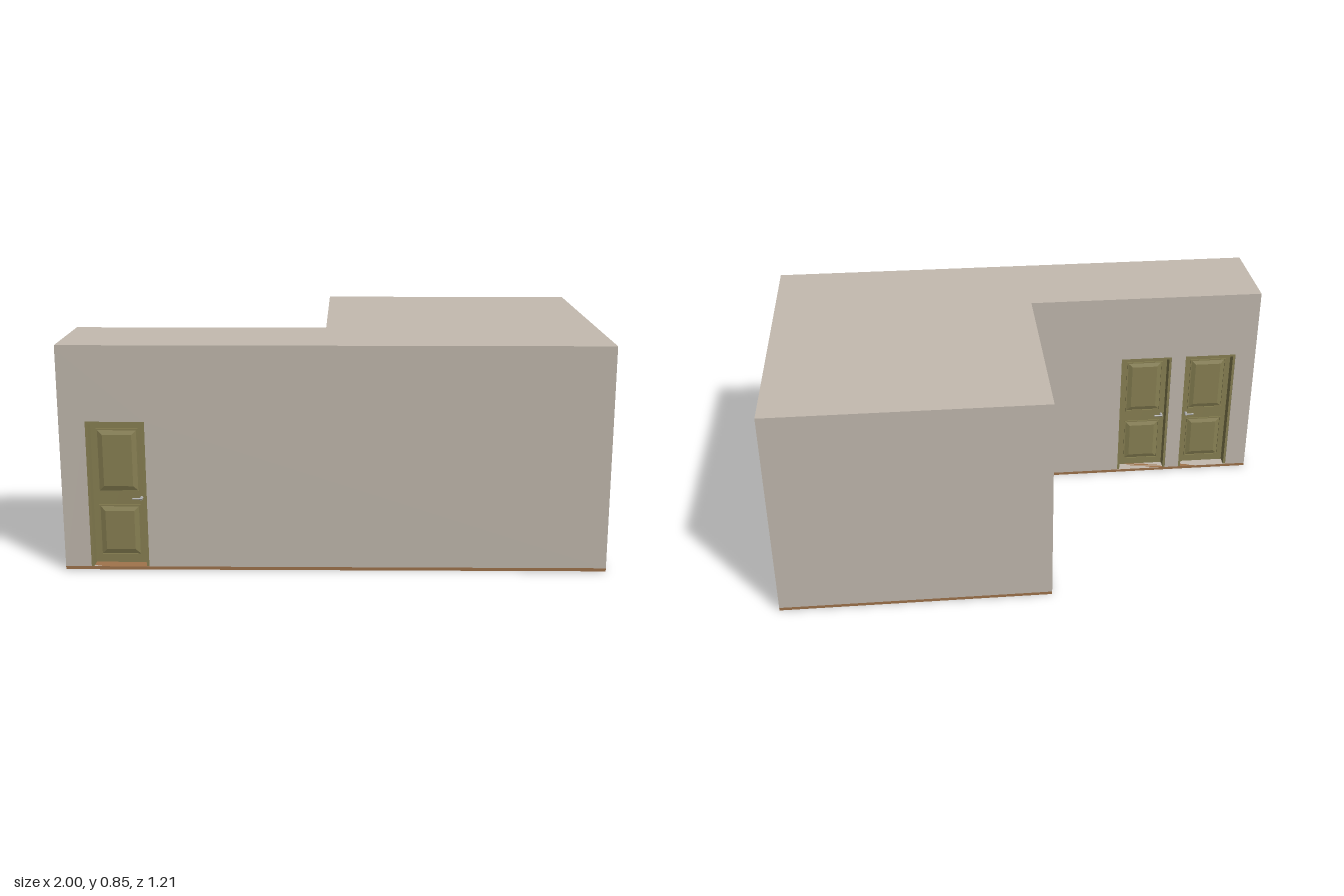
import * as THREE from 'three';

const mat = (name, color, side = THREE.FrontSide) => {
  const m = new THREE.MeshStandardMaterial({ color, side });
  m.name = name;
  return m;
};

export function createModel() {
  const M = {
    wall: mat('warm grey plaster', 0xc4bbb0),
    floor: mat('brown wood', 0xa0744c),
    door: mat('olive paint', 0x8a8254),
    black: mat('black metal', 0x202222),
    silver: mat('silver metal', 0xb4b4b4),
    pale: mat('pale laminate', 0xe0dcd4),
  };
  const T = 0.06, FLOOR = 0.012, TOP = 0.845, ROOF = 0.012;
  const root = new THREE.Group();
  root.name = 'apartment';

  const add = (parent, name, geo, material, x = 0, y = 0, z = 0) => {
    const m = new THREE.Mesh(geo, material);
    m.name = name;
    m.position.set(x, y, z);
    parent.add(m);
    return m;
  };
  // Box given by its minimum and maximum corners
  const box = (parent, name, material, x0, x1, y0, y1, z0, z1) =>
    add(parent, name, new THREE.BoxGeometry(x1 - x0, y1 - y0, z1 - z0), material,
      (x0 + x1) / 2, (y0 + y1) / 2, (z0 + z1) / 2);
  const rect = (C, x0, x1, y0, y1) => {
    const s = new C();
    s.moveTo(x0, y0);
    s.lineTo(x1, y0);
    s.lineTo(x1, y1);
    s.lineTo(x0, y1);
    s.closePath();
    return s;
  };
  // Flat rectangle with rectangular openings, extruded along z
  const sheet = (r, holes, depth) => {
    const s = rect(THREE.Shape, ...r);
    s.holes = holes.map(h => rect(THREE.Path, ...h));
    return new THREE.ExtrudeGeometry(s, { depth, bevelEnabled: false });
  };

  // L-shaped floor and roof slabs
  const plan = new THREE.Shape([[-1, -0.605], [1, -0.605], [1, 0.605], [-0.04, 0.605],
    [-0.04, -0.225], [-1, -0.225]].map(p => new THREE.Vector2(...p)));
  const slab = (name, material, y, depth) => {
    const g = new THREE.ExtrudeGeometry(plan, { depth, bevelEnabled: false });
    add(root, name, g.rotateX(-Math.PI / 2), material, 0, y);
  };
  slab('floor', M.floor, 0, FLOOR);
  slab('roof', M.wall, TOP - ROOF, ROOF);

  // A wall side: local x runs along the wall, local z points outward, z = 0 is the outer face
  const side = (name, angle, dist, u0, u1, holes = []) => {
    const g = new THREE.Group();
    g.name = name;
    g.rotation.y = angle;
    g.position.set(Math.sin(angle) * dist, 0, Math.cos(angle) * dist);
    root.add(g);
    add(g, name + 'Panel', sheet([u0, u1, FLOOR, TOP - ROOF], holes, T), M.wall, 0, 0, -T);
    return g;
  };

  const DOOR_TOP = 0.565, JAMB = 0.01, LEAF = 0.018;
  const opening = (u0, u1) => [u0, u1, FLOOR, DOOR_TOP];

  // Panelled door in its frame; the leaf hangs from u0 or u1 and may stand open inward
  const door = (parent, u0, u1, hingeLeft, open = false) => {
    const g = new THREE.Group();
    g.name = 'door';
    parent.add(g);
    const D = T + 0.004;
    for (const u of [u0, u1 - JAMB]) {
      box(g, 'doorJamb', M.door, u, u + JAMB, FLOOR, DOOR_TOP, -D, -0.002);
    }
    box(g, 'doorHead', M.door, u0 + JAMB, u1 - JAMB, DOOR_TOP - JAMB, DOOR_TOP, -D, -0.002);

    const w = u1 - u0 - 2 * JAMB - 0.004;
    const leaf = new THREE.Group();
    leaf.name = 'doorLeaf';
    leaf.position.set(u0 + JAMB + 0.002, 0, -0.046);
    if (open) {
      leaf.position.x += LEAF / 2;
      leaf.rotation.y = Math.PI / 2;
    }
    g.add(leaf);
    box(leaf, 'leafBoard', M.door, 0, w, FLOOR + 0.004, DOOR_TOP - JAMB - 0.002, -LEAF / 2, LEAF / 2);

    // Raised panels showing on both faces
    for (const [y0, y1] of [[0.05, 0.235], [0.295, 0.525]]) {
      const b = 0.018, e = 0.024;
      const geo = new THREE.ExtrudeGeometry(rect(THREE.Shape, e + b, w - e - b, y0 + b, y1 - b),
        { depth: LEAF, bevelEnabled: true, bevelSize: b, bevelThickness: 0.006, bevelSegments: 1 });
      add(leaf, 'raisedPanel', geo, M.door, 0, 0, -LEAF / 2);
      // Thin moulding around the panel
      const ring = sheet([e - 0.005, w - e + 0.005, y0 - 0.005, y1 + 0.005],
        [[e, w - e, y0, y1]], LEAF + 0.008);
      add(leaf, 'panelMoulding', ring, M.door, 0, 0, -LEAF / 2 - 0.004);
    }
    // Lever handles on both faces
    const hx = hingeLeft ? w - 0.013 : 0.013, dir = hingeLeft ? -1 : 1;
    for (const s of [1, -1]) {
      const stub = new THREE.CylinderGeometry(0.006, 0.006, 0.016, 12).rotateX(Math.PI / 2);
      add(leaf, 'handleStub', stub, M.silver, hx, 0.268, s * (LEAF / 2 + 0.008));
      const lever = new THREE.CylinderGeometry(0.0035, 0.0035, 0.036, 10).rotateZ(Math.PI / 2);
      add(leaf, 'handleLever', lever, M.silver, hx + dir * 0.014, 0.268, s * (LEAF / 2 + 0.016));
    }
  };

  // Front wall
  const front = side('frontWall', 0, 0.605, -1, 1, [opening(-0.905, -0.69)]);
  door(front, -0.905, -0.69, true);

  // Right wall with the open door and the window
  const W = [-0.09, 0.317, 0.276, 0.627];
  const right = side('rightWall', Math.PI / 2, 1, -0.605 + T, 0.605 - T,
    [opening(-0.535, -0.32), W]);
  door(right, -0.535, -0.32, true, true);

  // Back wall of the hall with two doors
  const hall = side('hallBackWall', Math.PI, -0.225, 0.04 - T, 1,
    [opening(0.425, 0.64), opening(0.70, 0.915)]);
  door(hall, 0.425, 0.64, true);
  door(hall, 0.70, 0.915, false);

  // End wall of the hall
  const end = side('hallEndWall', -Math.PI / 2, 1, 0.225 + T, 0.605 - T, [opening(0.32, 0.535)]);
  door(end, 0.32, 0.535, true);

  side('roomBackWall', Math.PI, 0.605, -1, 0.04);
  side('roomLeftWall', -Math.PI / 2, 0.04, -0.605 + T, 0.225);

  // Window: outer frame, two sashes, mullions, transom and sill
  const win = new THREE.Group();
  win.name = 'window';
  right.add(win);
  const ring = (name, x0, x1, y0, y1, t, z, d) => add(win, name,
    sheet([x0, x1, y0, y1], [[x0 + t, x1 - t, y0 + t, y1 - t]], d), M.black, 0, 0, z);
  ring('windowFrame', ...W, 0.006, -0.045, 0.025);
  ring('leftSash', -0.088, 0.044, 0.349, 0.625, 0.013, -0.046, 0.03);
  ring('rightSash', 0.184, 0.315, 0.349, 0.625, 0.013, -0.046, 0.03);
  for (const u of [0.04, 0.19]) {
    box(win, 'mullion', M.black, u - 0.005, u + 0.005, 0.28, 0.625, -0.043, -0.022);
  }
  box(win, 'transom', M.black, -0.088, 0.315, 0.349, 0.359, -0.044, -0.021);
  box(win, 'windowSill', M.black, -0.092, 0.319, 0.275, 0.288, -0.05, 0);

  // Chest of drawers against the front wall
  const chest = new THREE.Group();
  chest.name = 'chestOfDrawers';
  root.add(chest);
  box(chest, 'chestBody', M.floor, 0.3, 0.62, FLOOR, 0.18, 0.436, 0.544);
  for (const y of [0.042, 0.09, 0.138]) {
    box(chest, 'drawerFront', M.floor, 0.31, 0.61, y - 0.02, y + 0.02, 0.432, 0.436);
    box(chest, 'drawerHandle', M.black, 0.4, 0.52, y - 0.003, y + 0.003, 0.42, 0.425);
    for (const x of [0.41, 0.51]) {
      box(chest, 'handlePost', M.black, x - 0.003, x + 0.003, y - 0.003, y + 0.003, 0.422, 0.433);
    }
  }
  // Small pale rack beside the chest
  for (let i = 0; i < 4; i++) {
    box(root, 'rackRod', M.pale, 0.66, 0.664, FLOOR, 0.06 - i * 0.004, 0.44 + i * 0.01, 0.443 + i * 0.01);
  }

  // Sideboard with pale cabinet inside the room
  const unit = new THREE.Group();
  unit.name = 'sideboard';
  root.add(unit);
  box(unit, 'cabinet', M.pale, 0.55, 0.93, 0.22, 0.5, 0.1, 0.17);
  box(unit, 'cabinetBase', M.door, 0.55, 0.93, 0.16, 0.22, 0.1, 0.175);
  box(unit, 'cabinetShelf', M.black, 0.55, 0.93, 0.1, 0.108, 0.1, 0.17);
  for (const x of [0.55, 0.92]) {
    for (const z of [0.1, 0.16]) box(unit, 'cabinetLeg', M.black, x, x + 0.01, FLOOR, 0.16, z, z + 0.01);
  }
  return root;
}
